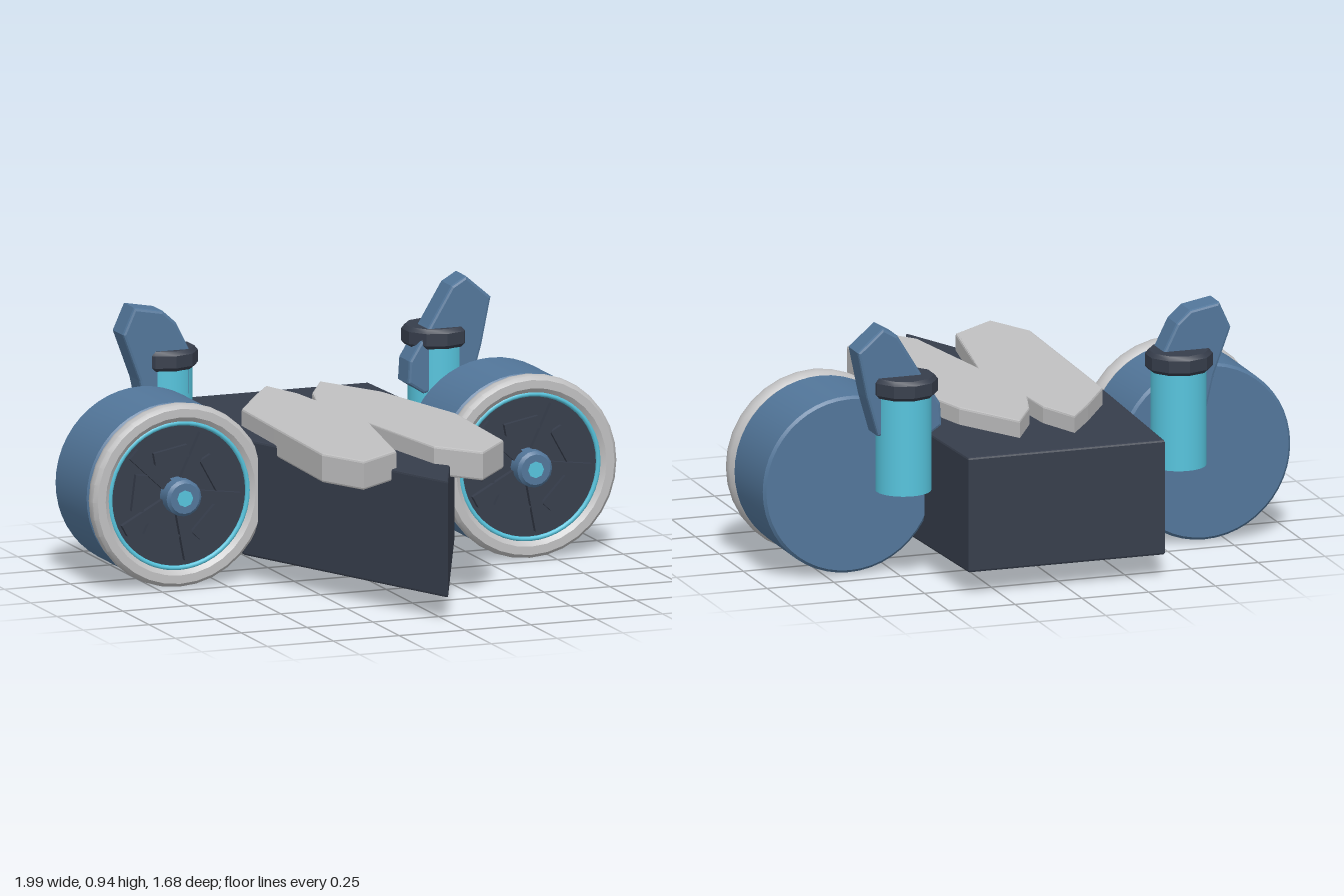
import * as THREE from 'three';
import { toCreasedNormals } from 'three/addons/utils/BufferGeometryUtils.js';

const material = (name, color) => {
  const m = new THREE.MeshStandardMaterial({ color });
  m.name = name;
  return m;
};

export function createModel() {
  const dark = material('dark slate', 0x363d4b);
  const blue = material('steel blue', 0x52769a);
  const cyan = material('cyan', 0x56c3dc);
  const grey = material('light grey', 0xc0c0c1);
  const model = new THREE.Group();
  model.name = 'hovercraft';

  const add = (parent, name, geometry, mat, x = 0, y = 0, z = 0) => {
    const mesh = new THREE.Mesh(geometry, mat);
    mesh.name = name;
    mesh.position.set(x, y, z);
    parent.add(mesh);
    return mesh;
  };
  // Bevelled plate from an outline, thickness along z starting at 0
  const plate = (points, depth, bevel) => {
    const shape = new THREE.Shape(points.map(([x, y]) => new THREE.Vector2(x, y)));
    const g = new THREE.ExtrudeGeometry(shape, {
      depth: depth - 2 * bevel, bevelEnabled: true, bevelThickness: bevel,
      bevelSize: bevel, bevelOffset: -bevel, bevelSegments: 2,
    });
    return g.translate(0, 0, bevel);
  };
  // Outline given in x, z and raised along y
  const slab = (points, depth, bevel) =>
    plate(points.map(([x, z]) => [x, -z]), depth, bevel).rotateX(-Math.PI / 2);
  // Turned part with sharp edges kept
  const turned = (points, sides, creaseAngle = 0.6) => toCreasedNormals(
    new THREE.LatheGeometry(points.map(([r, y]) => new THREE.Vector2(r, y)), sides), creaseAngle);

  // Hull with a pointed prow
  add(model, 'hull', slab([
    [-0.368, -0.84], [-0.4, -0.1], [0, 0.84], [0.4, -0.1], [0.368, -0.84],
  ], 0.42, 0.008), dark, 0, 0.09);

  // Twin-lobed deck plate
  add(model, 'deckPlate', slab([
    [-0.1, -0.645], [-0.2, -0.505], [-0.325, -0.31], [-0.335, 0.02], [-0.348, 0.51],
    [-0.26, 0.69], [-0.085, 0.56], [0, 0.09], [0.065, 0.54], [0.19, 0.695],
    [0.335, 0.525], [0.35, 0.04], [0.245, -0.4], [0.105, -0.645], [0.01, -0.48],
    [-0.03, -0.345], [-0.04, -0.48],
  ], 0.105, 0.008), grey, 0, 0.468);

  // Round thruster, facing front
  const drumGeo = turned([
    [0, -0.43], [0.312, -0.43], [0.322, -0.42], [0.322, -0.125], [0.312, -0.115], [0, -0.115],
  ], 48).rotateX(Math.PI / 2);
  const rimGeo = turned([
    [0.268, -0.105], [0.315, -0.105], [0.328, -0.09], [0.331, -0.07], [0.328, -0.05],
    [0.315, -0.036], [0.285, -0.036], [0.268, -0.05], [0.268, -0.105],
  ], 32).rotateX(Math.PI / 2);
  const faceGeo = new THREE.CylinderGeometry(0.268, 0.268, 0.05, 40).rotateX(Math.PI / 2);
  const trimGeo = new THREE.TorusGeometry(0.261, 0.009, 8, 48);
  const hubGeo = turned([
    [0, -0.08], [0.066, -0.08], [0.066, -0.005], [0.055, 0.006], [0, 0.006],
  ], 16).rotateX(Math.PI / 2);
  const capGeo = new THREE.CylinderGeometry(0.03, 0.03, 0.008, 8).rotateX(Math.PI / 2);
  const spokeGeo = new THREE.BoxGeometry(0.19, 0.045, 0.025);
  const vaneGeo = new THREE.BoxGeometry(0.13, 0.045, 0.02);

  for (const side of [-1, 1]) {
    const thruster = new THREE.Group();
    thruster.name = side > 0 ? 'leftThruster' : 'rightThruster';
    thruster.position.set(side * 0.666, 0.336, 0);
    model.add(thruster);
    add(thruster, 'drum', drumGeo, blue);
    add(thruster, 'rim', rimGeo, grey);
    add(thruster, 'trimRing', trimGeo, cyan, 0, 0, -0.055);
    add(thruster, 'fanFace', faceGeo, dark, 0, 0, -0.095);
    for (let i = 0; i < 5; i++) {
      const a = 1.13 + i * Math.PI * 0.4;
      const spoke = add(thruster, 'spoke', spokeGeo, dark, 0.14 * Math.cos(a), 0.14 * Math.sin(a), -0.062);
      spoke.rotation.z = a;
      const b = a + Math.PI / 5;
      const vane = add(thruster, 'vane', vaneGeo, dark, 0.15 * Math.cos(b), 0.15 * Math.sin(b), -0.062);
      vane.rotation.z = b + Math.PI / 2;
    }
    add(thruster, 'hub', hubGeo, blue);
    add(thruster, 'hubCap', capGeo, cyan, 0, 0, 0.004);
  }

  // Rear posts with collar and slanted fin
  const postGeo = new THREE.CylinderGeometry(0.099, 0.099, 0.37, 32);
  const collarGeo = turned([
    [0, 0.69], [0.108, 0.69], [0.12, 0.703], [0.12, 0.747], [0.108, 0.762], [0, 0.762],
  ], 10);
  const finOutlines = {
    '1': [[0.695, 0.86], [0.6, 0.942], [0.545, 0.91], [0.46, 0.77], [0.385, 0.65],
      [0.38, 0.57], [0.44, 0.53], [0.62, 0.55], [0.66, 0.69]],
    '-1': [[-0.703, 0.83], [-0.66, 0.925], [-0.55, 0.905], [-0.5, 0.86], [-0.45, 0.76],
      [-0.45, 0.6], [-0.5, 0.55], [-0.615, 0.55], [-0.64, 0.66]],
  };
  for (const side of [-1, 1]) {
    const pod = new THREE.Group();
    pod.name = side > 0 ? 'leftRearPod' : 'rightRearPod';
    model.add(pod);
    add(pod, 'post', postGeo, cyan, side * 0.515, 0.525, -0.57);
    add(pod, 'collar', collarGeo, dark, side * 0.515, 0, -0.575);
    const outline = finOutlines[side];
    add(pod, 'fin', plate(side > 0 ? outline : [...outline].reverse(), 0.11, 0.01), blue, 0, 0, -0.6);
  }
  return model;
}
